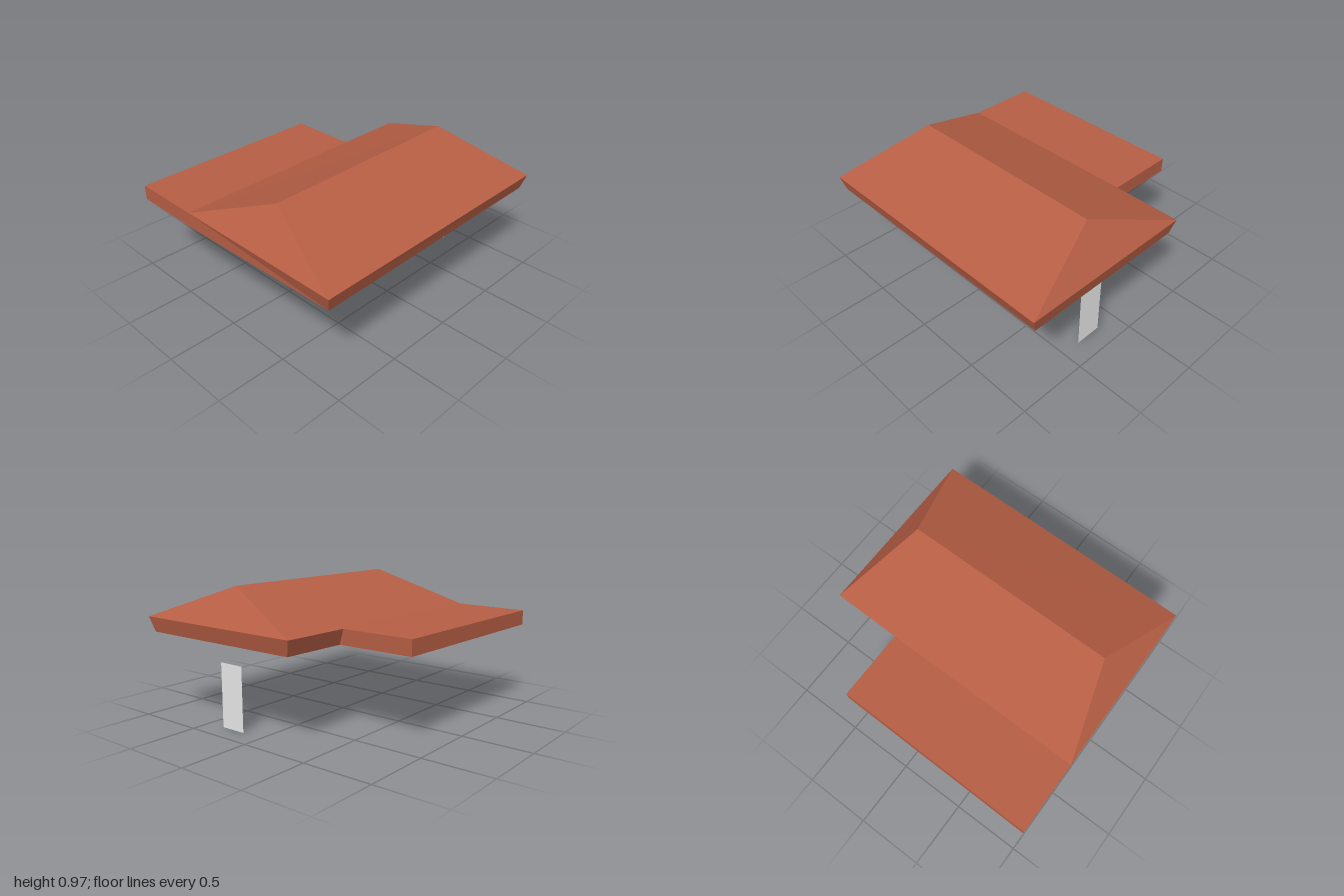
import * as THREE from 'three';

// Hollow hip roof with a lower flat slab joined to its back edge
const tilt = 0.0125; // the roof rises slightly towards +x
const lift = (y, points) => points.map(([x, z]) => new THREE.Vector3(x, y + tilt * x, z));

// Outline order: front left, front right, back right, joint, slab right, slab left, main back left
const topRim = lift(0.7125, [[-1, 0.92], [1, 0.925], [1, -0.39], [0.49, -0.395], [0.49, -0.915], [-1, -0.93], [-1, -0.4]]);
const lowRim = lift(0.605, [[-0.97, 0.89], [0.975, 0.89], [0.975, -0.36], [0.49, -0.365], [0.49, -0.915], [-1, -0.93], [-1, -0.365]]);
const topRidge = lift(0.96, [[-0.785, 0.255], [0.785, 0.265]]);
const lowRidge = lift(0.852, [[-0.74, 0.255], [0.74, 0.265]]);

// Faces of one shell: front slope, right hip, back slope, left hip, flat slab
function shell(rim, [ridgeL, ridgeR]) {
  const [fl, fr, br, joint, sr, sl, bl] = rim;
  return [
    [fl, fr, ridgeR, ridgeL],
    [fr, br, ridgeR],
    [ridgeR, br, joint, bl, ridgeL],
    [bl, fl, ridgeL],
    [joint, sr, sl, bl],
  ];
}

// Flat-faced mesh made from convex polygons
function polygonMesh(name, polygons, material) {
  const points = [];
  for (const p of polygons) {
    for (let i = 1; i < p.length - 1; i++) points.push(p[0], p[i], p[i + 1]);
  }
  const geometry = new THREE.BufferGeometry().setFromPoints(points);
  geometry.computeVertexNormals();
  const mesh = new THREE.Mesh(geometry, material);
  mesh.name = name;
  return mesh;
}

export function createModel() {
  const group = new THREE.Group();
  group.name = 'roof';
  const tile = new THREE.MeshStandardMaterial({ color: 0xb65e44 });
  tile.name = 'terracotta';
  const pale = new THREE.MeshStandardMaterial({ color: 0xf4f4f4, side: THREE.DoubleSide });
  pale.name = 'pale panel';

  // Upper roof surface
  group.add(polygonMesh('roofTop', shell(topRim, topRidge), tile));

  // Underside, facing down
  group.add(polygonMesh('ceiling', shell(lowRim, lowRidge).map((p) => p.reverse()), tile));

  // Edge boards around the outline
  const edges = topRim.map((t, i) => {
    const j = (i + 1) % topRim.length;
    return [t, lowRim[i], lowRim[j], topRim[j]];
  });
  group.add(polygonMesh('fascia', edges, tile));

  // Upright door panel under the right hip
  const door = new THREE.Mesh(new THREE.PlaneGeometry(0.195, 0.455), pale);
  door.name = 'doorPanel';
  door.rotation.y = Math.PI / 2;
  door.position.set(0.855, 0.2275, 0.2625);
  group.add(door);

  return group;
}
